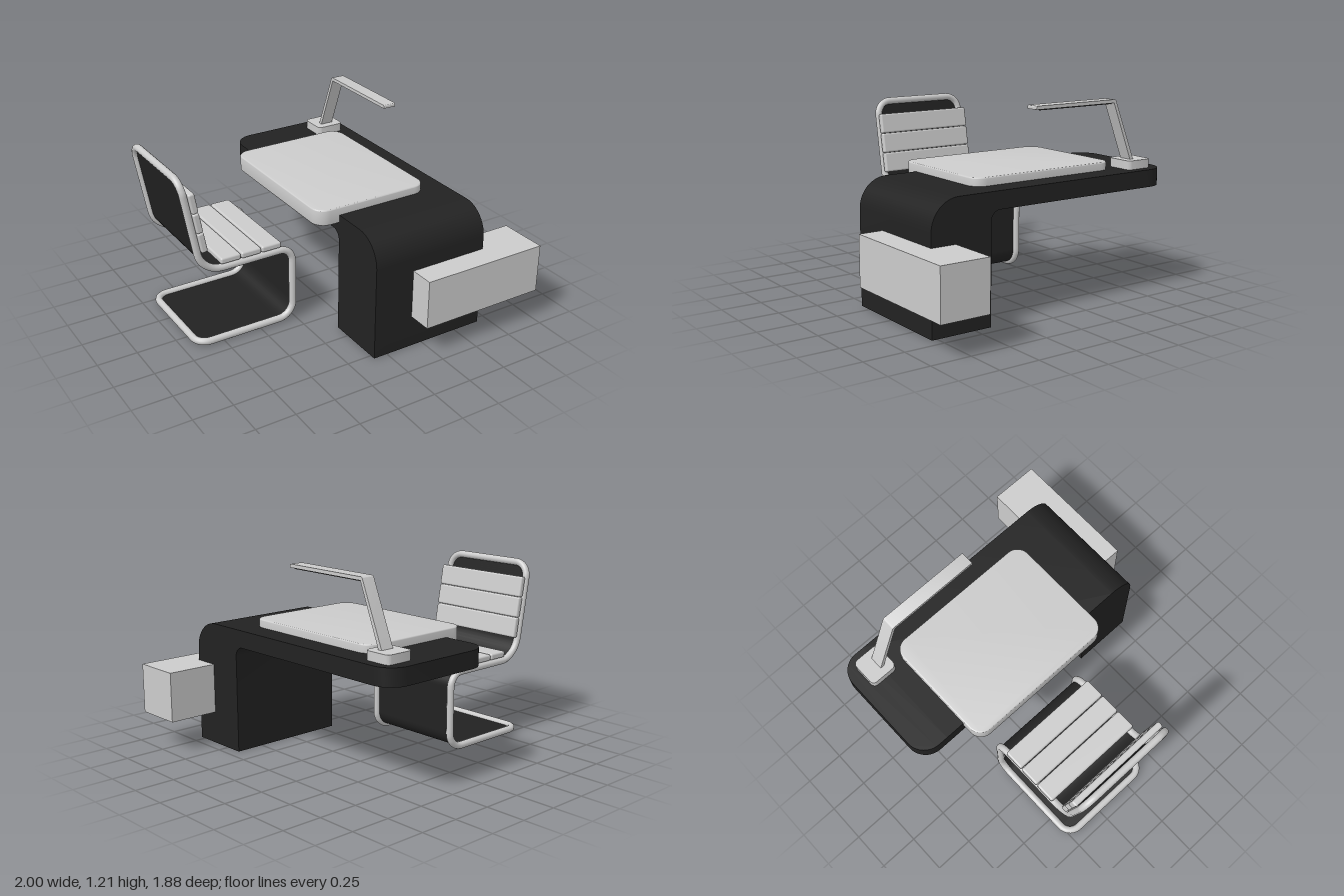
import * as THREE from 'three';
import { toCreasedNormals } from 'three/addons/utils/BufferGeometryUtils.js';
import { RoundedBoxGeometry } from 'three/addons/geometries/RoundedBoxGeometry.js';

const grey = new THREE.MeshStandardMaterial({ color: 0xcccccc });
const black = new THREE.MeshStandardMaterial({ color: 0x222222 });
const blackSheet = new THREE.MeshStandardMaterial({ color: 0x222222, side: THREE.DoubleSide });

function add(parent, name, geometry, material, x = 0, y = 0, z = 0) {
  const mesh = new THREE.Mesh(geometry, material);
  mesh.name = name;
  mesh.position.set(x, y, z);
  parent.add(mesh);
  return mesh;
}

// Rounds the corners of a polyline; corners are [x, y, z, radius].
function fillet(corners, closed = false, steps = 10) {
  const n = corners.length;
  const at = (i) => new THREE.Vector3(...corners[(i + n) % n].slice(0, 3));
  const out = [];
  for (let i = 0; i < n; i++) {
    const p = at(i), r = corners[i][3] || 0;
    if (!r || (!closed && (i === 0 || i === n - 1))) { out.push(p); continue; }
    const a = p.clone().add(at(i - 1).sub(p).setLength(r));
    const b = p.clone().add(at(i + 1).sub(p).setLength(r));
    const arc = new THREE.CubicBezierCurve3(a, a.clone().lerp(p, 0.55), b.clone().lerp(p, 0.55), b);
    out.push(...arc.getPoints(steps));
  }
  return out;
}

function extrude(corners, depth, bevel = 0) {
  const points = fillet(corners.map(([x, y, r]) => [x, y, 0, r]), true)
    .map((p) => new THREE.Vector2(p.x, p.y));
  return new THREE.ExtrudeGeometry(new THREE.Shape(points), {
    depth: depth - 2 * bevel, bevelEnabled: bevel > 0, bevelSize: bevel,
    bevelThickness: bevel, bevelOffset: -bevel, bevelSegments: 3,
  }).translate(0, 0, bevel);
}

// Side profile in (z, y), swept across x0..x1.
function sideProfile(corners, x0, x1) {
  const g = extrude(corners, x1 - x0).rotateY(-Math.PI / 2).translate(x1, 0, 0);
  return toCreasedNormals(g, 0.6);
}

// Plan outline in (x, -z), raised from y0 to y1.
function plan(corners, y0, y1, bevel = 0) {
  const g = extrude(corners, y1 - y0, bevel).rotateX(-Math.PI / 2).translate(0, y0, 0);
  return toCreasedNormals(g, 0.7);
}

function createDesk() {
  const desk = new THREE.Group();
  desk.name = 'desk';
  const x0 = -0.09, x1 = 0.68, seam = -0.75;

  // Waterfall leg and top, with a round-cornered rear end
  add(desk, 'deskBody', sideProfile([
    [0.39, 0, 0], [0.785, 0, 0], [0.785, 0.775, 0.18],
    [seam, 0.775, 0], [seam, 0.668, 0], [0.39, 0.668, 0.06],
  ], x0, x1), black);
  add(desk, 'deskRearEnd', plan([
    [x0, -seam, 0], [x1, -seam, 0], [x1, 0.942, 0.13], [x0, 0.942, 0.13],
  ], 0.668, 0.775), black);

  // Work surface set into the desk and overhanging towards the chair
  add(desk, 'workSurface', plan([
    [-0.235, -0.395, 0.085], [0.535, -0.395, 0.085],
    [0.535, 0.622, 0.085], [-0.235, 0.622, 0.085],
  ], 0.725, 0.825, 0.008), grey);

  add(desk, 'cabinet', new THREE.BoxGeometry(0.83, 0.31, 0.312), grey, 0.585, 0.358, 0.782);
  return desk;
}

function createLamp() {
  const lamp = new THREE.Group();
  lamp.name = 'lamp';
  add(lamp, 'lampBase', plan([
    [0.437, 0.685, 0.03], [0.622, 0.685, 0.03],
    [0.622, 0.865, 0.03], [0.437, 0.865, 0.03],
  ], 0.765, 0.83), grey);

  // Bent flat arm with a dark light strip underneath
  add(lamp, 'lampArm', sideProfile([
    [-0.768, 0.82, 0], [-0.742, 0.82, 0], [-0.597, 1.186, 0], [-0.005, 1.186, 0],
    [-0.005, 1.207, 0.008], [-0.61, 1.207, 0.01],
  ], 0.487, 0.572), grey);
  add(lamp, 'lightStrip', new THREE.BoxGeometry(0.062, 0.008, 0.55), black, 0.53, 1.184, -0.31);
  return lamp;
}

function createChair() {
  const chair = new THREE.Group();
  chair.name = 'chair';
  chair.position.z = -0.18;

  // Half of the cantilever loop, from floor crossbar to top crossbar
  const h = 0.323;
  const half = fillet([
    [-0.912, 0.0225, 0], [-0.912, 0.0225, h, 0.08], [-0.267, 0.0225, h, 0.1],
    [-0.267, 0.5, h, 0.09], [-0.87, 0.5, h, 0.13], [-0.975, 1.1, h, 0.09], [-0.975, 1.1, 0],
  ]);
  const mirrored = half.map((p) => new THREE.Vector3(p.x, p.y, -p.z));
  const loop = [...half, ...mirrored.slice(1, -1).reverse()];
  const path = new THREE.CurvePath();
  loop.forEach((p, i) => path.add(new THREE.LineCurve3(p, loop[(i + 1) % loop.length])));
  add(chair, 'chairFrame', new THREE.TubeGeometry(path, 500, 0.0225, 12, true), grey);

  // Sheet stretched between the two sides of the loop
  const positions = [], index = [];
  half.forEach((p, i) => {
    positions.push(p.x, p.y, p.z, p.x, p.y, -p.z);
    const a = 2 * i;
    if (i) index.push(a - 2, a - 1, a, a, a - 1, a + 1);
  });
  const sheet = new THREE.BufferGeometry();
  sheet.setAttribute('position', new THREE.Float32BufferAttribute(positions, 3));
  sheet.setIndex(index);
  sheet.computeVertexNormals();
  add(chair, 'chairSheet', sheet, blackSheet);

  // Three seat slats and three matching back slats
  const slat = new RoundedBoxGeometry(0.13, 0.04, 0.685, 3, 0.012);
  const tilt = Math.atan2(0.105, 0.6);
  for (let i = 0; i < 3; i++) {
    add(chair, 'seatSlat', slat, grey, -0.687 + i * 0.136, 0.545, 0);
    const y = 0.957 - i * 0.129;
    const back = add(chair, 'backSlat', slat, grey, -0.905 + (0.957 - y) * 0.175, y, 0);
    back.rotation.z = Math.PI / 2 + tilt;
  }
  return chair;
}

export function createModel() {
  const model = new THREE.Group();
  model.name = 'deskAndChair';
  model.add(createDesk(), createLamp(), createChair());
  return model;
}
